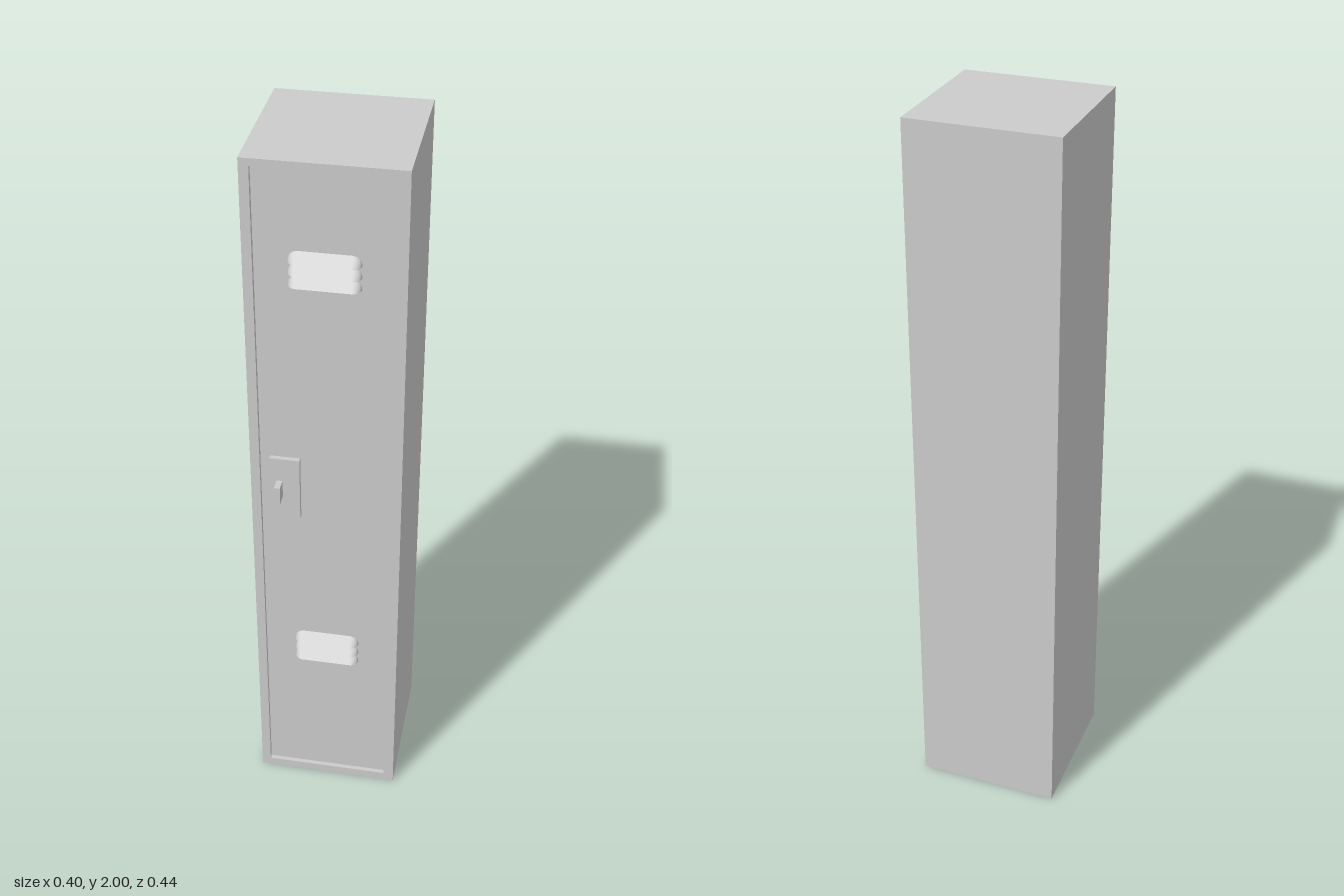
import * as THREE from 'three';

const material = new THREE.MeshStandardMaterial({ color: 0xcccccc });
const sheetMaterial = new THREE.MeshStandardMaterial({ color: 0xcccccc, side: THREE.DoubleSide });

const DOOR_Z = 0.17;   // door face, set back from the frame
const FRAME_Z = 0.182; // front of the frame
const OPENING = { x0: -0.175, x1: 0.172, y0: 0.025, y1: 1.98 };

// Box given by its extents on each axis
function box(name, [x0, x1], [y0, y1], [z0, z1]) {
  const geometry = new THREE.BoxGeometry(x1 - x0, y1 - y0, z1 - z0);
  geometry.translate((x0 + x1) / 2, (y0 + y1) / 2, (z0 + z1) / 2);
  const mesh = new THREE.Mesh(geometry, material);
  mesh.name = name;
  return mesh;
}

// Rectangular rim around the door opening
function doorFrame() {
  const { x0, x1, y0, y1 } = OPENING;
  const shape = new THREE.Shape([[-0.2, 0], [0.2, 0], [0.2, 2], [-0.2, 2]].map(p => new THREE.Vector2(...p)));
  shape.holes.push(new THREE.Path([[x0, y0], [x0, y1], [x1, y1], [x1, y0]].map(p => new THREE.Vector2(...p))));
  const geometry = new THREE.ExtrudeGeometry(shape, { depth: FRAME_Z - 0.15, bevelEnabled: false });
  geometry.translate(0, 0, 0.15);
  const mesh = new THREE.Mesh(geometry, material);
  mesh.name = 'doorFrame';
  return mesh;
}

// Pressed hood: slopes out toward an open lower edge, with rounded ends
function louvreGeometry() {
  const height = 0.026, depth = 0.024, flat = 0.068, round = 0.022;
  const rows = 8, arc = 6, cols = 2 * (arc + 1);
  const positions = [], indices = [];
  for (let r = 0; r <= rows; r++) {
    const t = r / rows;
    const bulge = Math.sqrt(1 - (1 - t) ** 2);
    for (let c = 0; c < cols; c++) {
      const left = c < cols / 2;
      const a = (left ? c : cols - 1 - c) / arc * Math.PI / 2;
      const x = flat + round * bulge * Math.cos(a);
      positions.push(left ? -x : x, height * (1 - t), depth * t * Math.sin(a));
      if (r < rows && c < cols - 1) {
        const i = r * cols + c, j = i + cols;
        indices.push(i, j, i + 1, j, j + 1, i + 1);
      }
    }
  }
  const geometry = new THREE.BufferGeometry();
  geometry.setAttribute('position', new THREE.Float32BufferAttribute(positions, 3));
  geometry.setIndex(indices);
  geometry.computeVertexNormals();
  return geometry;
}

export function createModel() {
  const locker = new THREE.Group();
  locker.name = 'locker';

  // Cabinet and recessed door
  const { x0, x1, y0, y1 } = OPENING;
  locker.add(
    box('cabinet', [-0.2, 0.2], [0, 2], [-0.218, 0.15]),
    doorFrame(),
    box('door', [x0, x1], [y0, y1], [0.15, DOOR_Z]),
  );

  // Latch
  locker.add(
    box('latchPlate', [-0.149, -0.069], [0.97, 1.16], [DOOR_Z - 0.005, 0.183]),
    box('latchHandle', [-0.131, -0.115], [1.04, 1.09], [0.178, 0.217]),
  );

  // Two groups of three ventilation louvres
  const louvre = louvreGeometry();
  for (const [name, bottom] of [['upperVent', 1.677], ['lowerVent', 0.466]]) {
    const vent = new THREE.Group();
    vent.name = name;
    for (let i = 0; i < 3; i++) {
      const mesh = new THREE.Mesh(louvre, sheetMaterial);
      mesh.name = 'louvre';
      mesh.position.set(-0.001, bottom + i * 0.032, DOOR_Z);
      vent.add(mesh);
    }
    locker.add(vent);
  }
  return locker;
}
